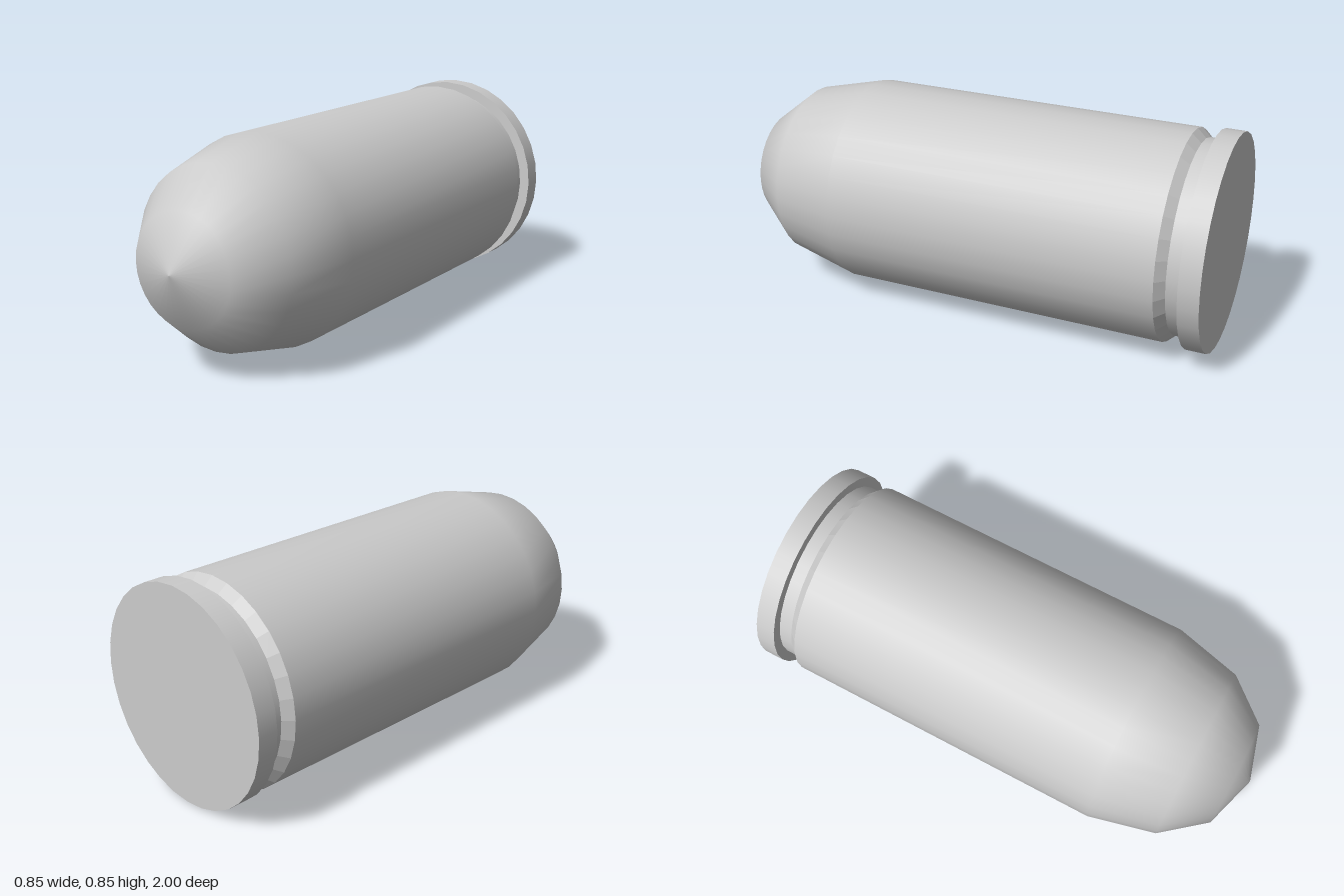
import * as THREE from 'three';

const SIDES = 32;
const AXIS_HEIGHT = 0.425;

export function createModel() {
  const model = new THREE.Group();
  model.name = 'cartridge';

  // Revolves a [radius, z] profile, listed from back to front, around the z axis
  function addTurned(name, profile, flatShading = false) {
    const points = profile.map(([r, z]) => new THREE.Vector2(r, z));
    const geometry = new THREE.LatheGeometry(points, SIDES);
    geometry.rotateX(Math.PI / 2);
    const material = new THREE.MeshStandardMaterial({ color: 0xcccccc, flatShading });
    const mesh = new THREE.Mesh(geometry, material);
    mesh.name = name;
    mesh.position.y = AXIS_HEIGHT;
    model.add(mesh);
  }

  // Base rim: flat back disc, outer band and front shoulder, kept sharp
  addTurned('baseDisc', [[0, -1], [0.424, -1]]);
  addTurned('rimBand', [[0.424, -1], [0.424, -0.92]]);
  addTurned('rimShoulder', [[0.424, -0.92], [0.382, -0.92]]);

  // Extractor groove and the faceted bevel leading up to the body
  addTurned('groove', [[0.382, -0.92], [0.382, -0.866]]);
  addTurned('bevel', [[0.382, -0.866], [0.415, -0.83]], true);

  // Straight case running smoothly into the rounded nose
  addTurned('bodyAndNose', [
    [0.415, -0.83], [0.415, 0.495], [0.35, 0.765], [0.214, 0.934], [0, 1],
  ]);

  return model;
}
